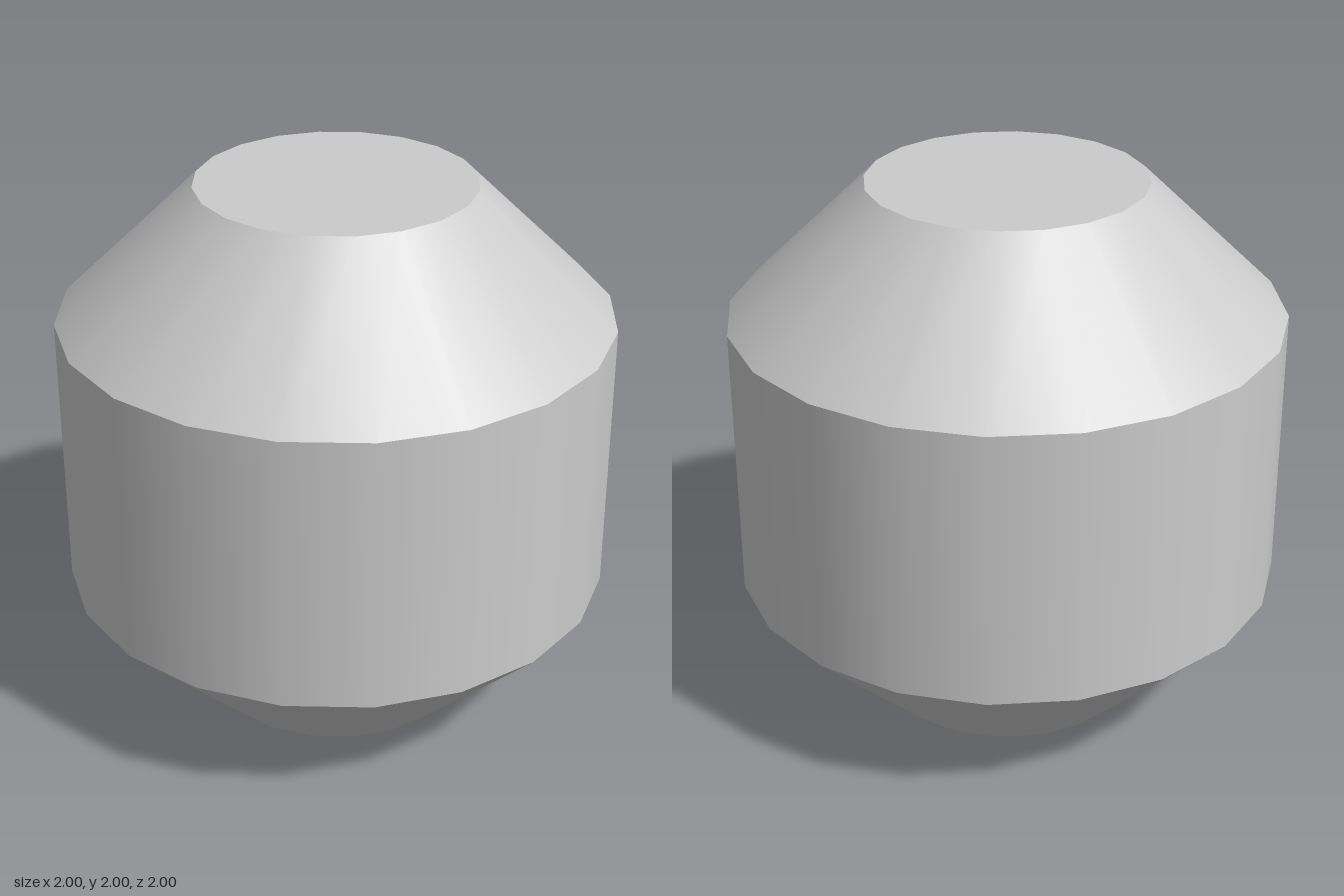
import * as THREE from 'three';

const SIDES = 20;
const R = 1, CAP_R = 0.5;
const LOW = 0.495, HIGH = 1.51, TOP = 2;

export function createModel() {
  const group = new THREE.Group();
  const material = new THREE.MeshStandardMaterial({ color: 0xcccccc });

  const add = (name, geometry) => {
    const mesh = new THREE.Mesh(geometry, material);
    mesh.name = name;
    group.add(mesh);
  };

  // One open ring of wall between two heights, smooth around, sharp at its rims
  const band = (name, y0, r0, y1, r1) =>
    add(name, new THREE.CylinderGeometry(r1, r0, y1 - y0, SIDES, 1, true).translate(0, (y0 + y1) / 2, 0));

  // Flat end disc facing up (1) or down (-1)
  const cap = (name, y, facing) =>
    add(name, new THREE.CircleGeometry(CAP_R, SIDES).rotateX(-facing * Math.PI / 2).translate(0, y, 0));

  band('lowerTaper', 0, CAP_R, LOW, R);
  band('barrelWall', LOW, R, HIGH, R);
  band('upperTaper', HIGH, R, TOP, CAP_R);
  cap('bottomCap', 0, -1);
  cap('topCap', TOP, 1);

  return group;
}
